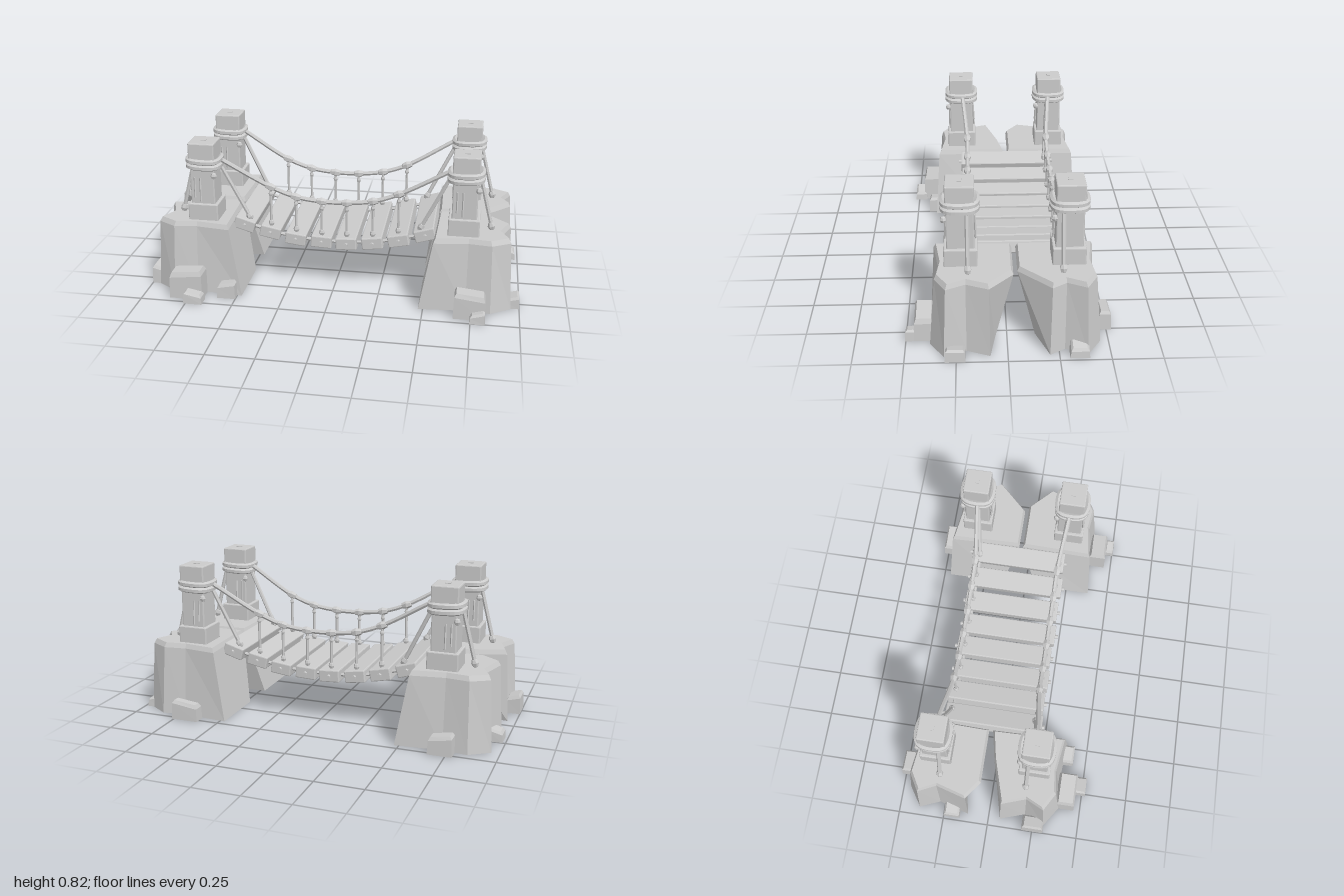
import * as THREE from 'three';
import { RoundedBoxGeometry } from 'three/addons/geometries/RoundedBoxGeometry.js';

const grey = new THREE.MeshStandardMaterial({ color: 0xcccccc, flatShading: true });
grey.name = 'stone grey';
const ZC = -0.04; // the bridge runs along x at this z
const V = (x, y, z) => new THREE.Vector3(x, y, z);

function add(parent, name, geometry, x = 0, y = 0, z = 0) {
  const mesh = new THREE.Mesh(geometry, grey);
  mesh.name = name;
  mesh.position.set(x, y, z);
  parent.add(mesh);
  return mesh;
}

const box = (w, h, d, r = 0.006) => new RoundedBoxGeometry(w, h, d, 1, r);

// Straight rope between two points
function rope(parent, name, a, b, r, sides = 6) {
  const m = add(parent, name, new THREE.CylinderGeometry(r, r, a.distanceTo(b), sides));
  m.position.copy(a).add(b).multiplyScalar(0.5);
  m.quaternion.setFromUnitVectors(V(0, 1, 0), b.clone().sub(a).normalize());
  return m;
}

// Faceted knot, stretched along a direction
function knot(parent, name, p, r, length, dir = V(0, 1, 0)) {
  const m = add(parent, name, new THREE.SphereGeometry(r, 6, 4), p.x, p.y, p.z);
  m.scale.y = length / (2 * r);
  m.quaternion.setFromUnitVectors(V(0, 1, 0), dir.clone().normalize());
  return m;
}

// Solid from stacked rings that run clockwise seen from above
function loft(rings) {
  const pos = [];
  const tri = (a, b, c) => pos.push(...a, ...b, ...c);
  const n = rings[0].length;
  for (let k = 0; k + 1 < rings.length; k++) {
    for (let i = 0; i < n; i++) {
      const j = (i + 1) % n, lo = rings[k], hi = rings[k + 1];
      tri(lo[i], hi[i], hi[j]);
      tri(lo[i], hi[j], lo[j]);
    }
  }
  for (const [ring, up] of [[rings[0], -1], [rings[rings.length - 1], 1]]) {
    const flat = ring.map((p) => new THREE.Vector2(p[0], p[2]));
    for (const [a, b, c] of THREE.ShapeUtils.triangulateShape(flat, [])) {
      const A = flat[a], B = flat[b], C = flat[c];
      const ny = (B.y - A.y) * (C.x - A.x) - (B.x - A.x) * (C.y - A.y);
      if (ny * up > 0) tri(ring[a], ring[b], ring[c]);
      else tri(ring[a], ring[c], ring[b]);
    }
  }
  const g = new THREE.BufferGeometry();
  g.setAttribute('position', new THREE.Float32BufferAttribute(pos, 3));
  g.computeVertexNormals();
  return g;
}

// Cliff footing; side and corner are the two points that vary
function cliff(parent, sx, sz, side, corner) {
  const top = [[0.55, 0.01], side, corner, [0.89, 0.24], [0.935, 0.335], [0.84, 0.39], [0.72, 0.375], [0.54, 0.4]];
  const base = [[0.475, 0.1], [side[0], side[1] + 0.09], [corner[0] + 0.02, corner[1] - 0.005],
    [0.91, 0.24], [0.955, 0.35], [0.85, 0.42], [0.72, 0.405], [0.475, 0.424]];
  const ring = (pts, y, inset) => {
    const r = pts.map(([u, v]) => [sx * (0.72 + (u - 0.72) * inset), y, ZC + sz * (0.2 + (v - 0.2) * inset)]);
    return sx * sz < 0 ? r.reverse() : r;
  };
  add(parent, 'cliffFooting', loft([ring(base, 0, 1), ring(top, 0.37, 1), ring(top, 0.395, 0.94)]));
}

// Boulder with a narrowed, slightly slanted top
function boulder(parent, x0, x1, z0, z1, h, i) {
  const ring = (y, c, slant) => [[0, 0], [1, 0], [1, 1], [0, 1]].map(([a, b]) => [
    THREE.MathUtils.lerp(x0 + c, x1 - c, a), y - slant * (i % 2 ? a : 1 - a), THREE.MathUtils.lerp(z0 + c, z1 - c, b)]);
  add(parent, 'boulder', loft([ring(0, 0, 0), ring(h * 0.85, 0.003, 0.02), ring(h, 0.013, 0.015)]));
}

function post(parent, sx, sz) {
  const g = new THREE.Group();
  g.name = 'post';
  g.position.set(sx * 0.69, 0, ZC + sz * 0.262);
  parent.add(g);
  add(g, 'postPlinth', box(0.162, 0.1, 0.164), 0, 0.436, 0);
  add(g, 'postShaft', box(0.13, 0.28, 0.135), 0, 0.6, 0);
  add(g, 'postCap', box(0.14, 0.1, 0.14), 0, 0.768, 0);
  add(g, 'capPlug', new THREE.BoxGeometry(0.028, 0.006, 0.022), 0, 0.819, 0);
  // Two rope wraps around the shaft
  const e = 0.076, c = 0.05;
  const path = [[e, -c], [e, c], [c, e], [-c, e], [-e, c], [-e, -c], [-c, -e], [c, -e]];
  for (const y of [0.689, 0.72]) {
    const curve = new THREE.CatmullRomCurve3(path.map(([x, z]) => V(x, y + 0.03 * sx * x, z)), true);
    add(g, 'ropeWrap', new THREE.TubeGeometry(curve, 32, 0.0155, 6, true));
  }
  // Corner knots and hanging rope ends
  for (const s of [-1, 1]) {
    knot(g, 'cornerKnot', V(s * 0.068, 0.648, s * 0.077), 0.017, 0.036);
    for (const [x, low] of [[-0.04, 0.52], [-0.01, 0.5]]) {
      rope(g, 'ropeTail', V(x, 0.63, s * 0.069), V(x, low, s * 0.075), 0.005, 4);
    }
  }
}

export function createModel() {
  const model = new THREE.Group();
  model.name = 'ropeBridge';

  cliff(model, 1, 1, [0.81, 0.01], [0.935, 0.13]);
  cliff(model, -1, -1, [0.84, 0.01], [0.935, 0.08]);
  cliff(model, -1, 1, [0.7, 0.04], [0.935, 0.11]);
  cliff(model, 1, -1, [0.78, 0.01], [0.935, 0.17]);

  // Boulders: x range, z range, height
  [[-0.85, -0.67, 0.36, 0.465, 0.16], [-0.76, -0.66, 0.45, 0.52, 0.065], [-0.6, -0.5, 0.35, 0.43, 0.09],
    [-1, -0.92, 0.19, 0.31, 0.105], [-0.985, -0.9, -0.25, -0.16, 0.07], [-0.785, -0.66, -0.52, -0.44, 0.105],
    [0.61, 0.76, -0.525, -0.46, 0.105], [0.91, 0.985, -0.395, -0.3, 0.065], [0.92, 1, 0.205, 0.305, 0.065],
    [0.66, 0.825, 0.36, 0.46, 0.14], [0.745, 0.825, 0.45, 0.505, 0.06],
  ].forEach((b, i) => boulder(model, ...b, i));

  // Planks sagging between the cliffs
  const planks = [[0.068, 0.27, 0.05], [0.208, 0.28, 0.13], [0.348, 0.308, 0.2], [0.488, 0.347, 0.29]];
  const jitter = [0.004, -0.003, 0.002, -0.004];
  for (const sx of [-1, 1]) {
    planks.forEach(([x, y, tilt], i) => {
      const z = ZC - 0.002 + sx * jitter[i];
      add(model, 'plank', box(0.113, 0.066, 0.53), sx * x, y, z).rotation.z = sx * tilt;
      for (const sz of [-1, 1]) {
        const peg = add(model, 'plankPeg', new THREE.CylinderGeometry(0.011, 0.011, 0.03, 6), sx * x, y, z + sz * 0.265);
        peg.rotation.x = Math.PI / 2;
      }
    });
  }

  for (const sz of [-1, 1]) {
    const z = ZC + sz * 0.228;
    // Rope threaded through the planks
    const deck = planks.map(([x, y]) => V(x, y, z));
    const mirror = (p) => V(-p.x, p.y, p.z);
    const deckLine = new THREE.CatmullRomCurve3([...deck.map(mirror).reverse(), ...deck]);
    add(model, 'deckRope', new THREE.TubeGeometry(deckLine, 28, 0.009, 6));

    // Handrail with knots and hangers
    const half = [V(0.068, 0.496, z), V(0.208, 0.514, z), V(0.345, 0.563, z), V(0.6, 0.71, z + sz * 0.025)];
    const rail = new THREE.CatmullRomCurve3([...half.map(mirror).reverse(), ...half]);
    add(model, 'handrail', new THREE.TubeGeometry(rail, 40, 0.012, 6));
    for (const sx of [-1, 1]) {
      for (let i = 0; i < 3; i++) {
        const p = half[i], x = sx * p.x, low = planks[i][1] + 0.035;
        knot(model, 'railKnot', V(x, p.y, z), 0.022, 0.07, V(1, sx * planks[i][2] * 1.6, 0));
        rope(model, 'hanger', V(x, p.y, z), V(x, low, z), 0.0075);
        knot(model, 'hangerKnot', V(x, p.y - 0.04, z), 0.012, 0.03);
        knot(model, 'hangerKnot', V(x, low + 0.012, z), 0.016, 0.04);
      }
      // Inner brace to the end plank and outer stay to the cliff
      const a = V(sx * 0.615, 0.69, z + sz * 0.02), b = V(sx * 0.465, 0.385, z);
      rope(model, 'innerBrace', a, b, 0.011);
      knot(model, 'braceKnot', b, 0.019, 0.05, b.clone().sub(a));
      const c = V(sx * 0.762, 0.685, z), d = V(sx * 0.835, 0.4, z);
      rope(model, 'outerStay', c, d, 0.011);
      knot(model, 'stayKnot', V(sx * 0.831, 0.415, z), 0.02, 0.05, d.clone().sub(c));
      post(model, sx, sz);
    }
  }
  return model;
}
